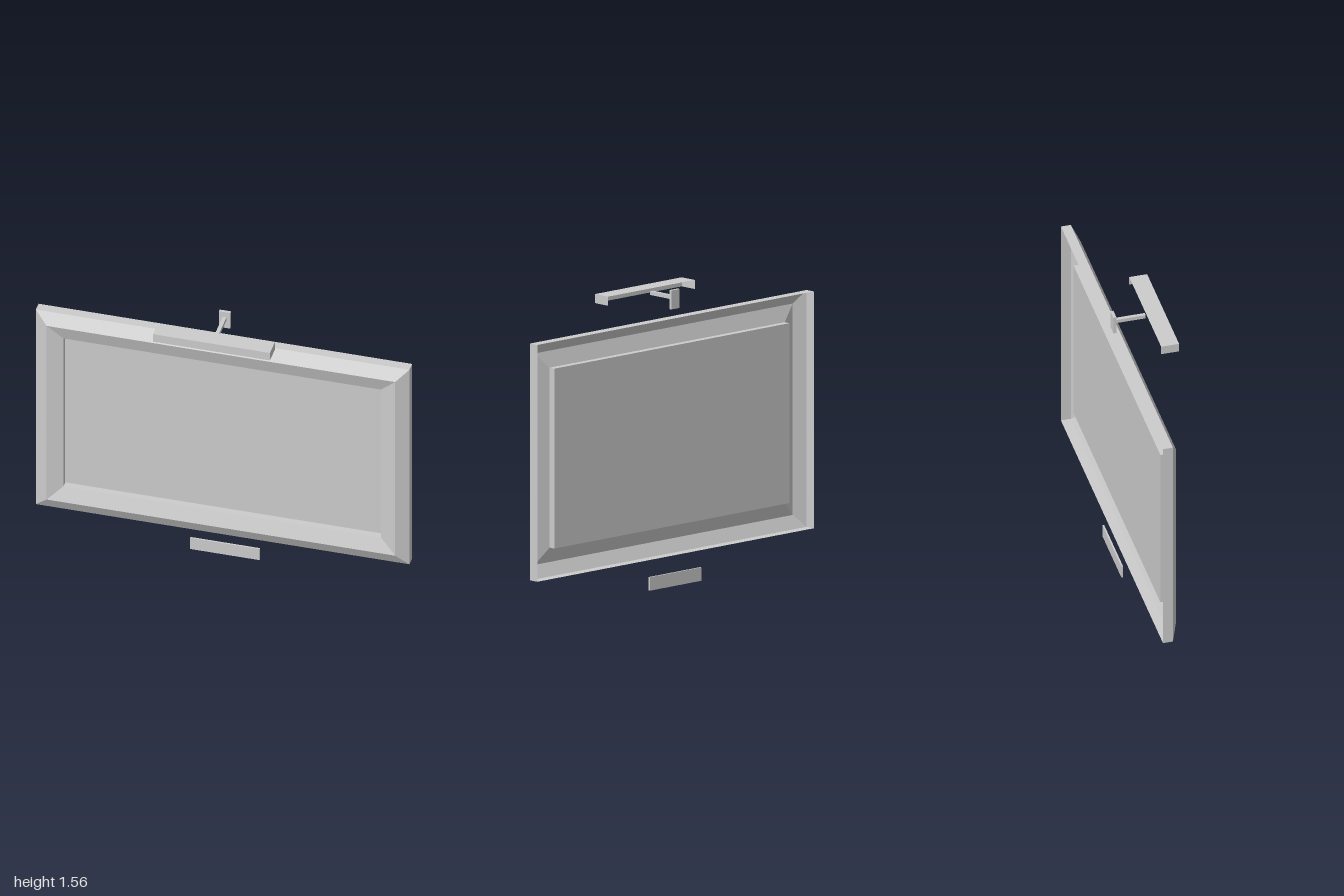
import * as THREE from 'three';

const grey = new THREE.MeshStandardMaterial({ color: 0xcccccc, side: THREE.DoubleSide });
grey.name = 'plain grey';

// Flat-shaded mesh from a list of four-cornered faces
function quadMesh(name, quads) {
  const pos = [];
  for (const [a, b, c, d] of quads) pos.push(...a, ...b, ...c, ...a, ...c, ...d);
  const geo = new THREE.BufferGeometry();
  geo.setAttribute('position', new THREE.Float32BufferAttribute(pos, 3));
  geo.computeVertexNormals();
  const mesh = new THREE.Mesh(geo, grey);
  mesh.name = name;
  return mesh;
}

// Box given by its lower and upper limits
function box(name, [x0, y0, z0], [x1, y1, z1]) {
  const mesh = new THREE.Mesh(new THREE.BoxGeometry(x1 - x0, y1 - y0, z1 - z0), grey);
  mesh.position.set((x0 + x1) / 2, (y0 + y1) / 2, (z0 + z1) / 2);
  mesh.name = name;
  return mesh;
}

// Rectangle of the frame, drawn in by an inset, at depth z
function ring(inset, z) {
  const x = 1 - inset, y0 = 0.162 + inset, y1 = 1.41 - inset;
  return [[-x, y0, z], [x, y0, z], [x, y1, z], [-x, y1, z]];
}

// Mitred faces joining successive rectangles
function mouldingQuads(rings) {
  const quads = [];
  for (let i = 0; i < rings.length - 1; i++) {
    for (let k = 0; k < 4; k++) {
      const n = (k + 1) % 4;
      quads.push([rings[i][k], rings[i][n], rings[i + 1][n], rings[i + 1][k]]);
    }
  }
  return quads;
}

export function createModel() {
  const model = new THREE.Group();
  model.name = 'framedPictureWithLamp';

  // Open-backed frame: outer wall, outer bevel, inner bevel, step to the canvas
  const rings = [ring(0, -0.137), ring(0, -0.084), ring(0.067, -0.049), ring(0.15, -0.075), ring(0.15, -0.11)];
  model.add(quadMesh('frame', mouldingQuads(rings)));
  model.add(quadMesh('canvas', [rings[4]]));

  // Lamp shade: top, front and ends, open below and behind
  const w = 0.313, y0 = 1.494, y1 = 1.542, zb = 0.041, zf = 0.137;
  const lamp = new THREE.Group();
  lamp.name = 'pictureLamp';
  lamp.add(quadMesh('lampShade', [
    [[-w, y1, zf], [w, y1, zf], [w, y1, zb], [-w, y1, zb]],
    [[-w, y0, zf], [w, y0, zf], [w, y1, zf], [-w, y1, zf]],
    [[w, y0, zf], [w, y0, zb], [w, y1, zb], [w, y1, zf]],
    [[-w, y0, zb], [-w, y0, zf], [-w, y1, zf], [-w, y1, zb]],
  ]));
  lamp.add(box('lampArm', [-0.01, 1.508, -0.121], [0.01, 1.528, 0.041]));
  lamp.add(box('lampWallPlate', [-0.03, 1.46, -0.137], [0.03, 1.56, -0.121]));
  model.add(lamp);

  // Caption plate on the wall below
  model.add(box('captionPlate', [-0.186, 0, -0.137], [0.186, 0.071, -0.128]));
  return model;
}
